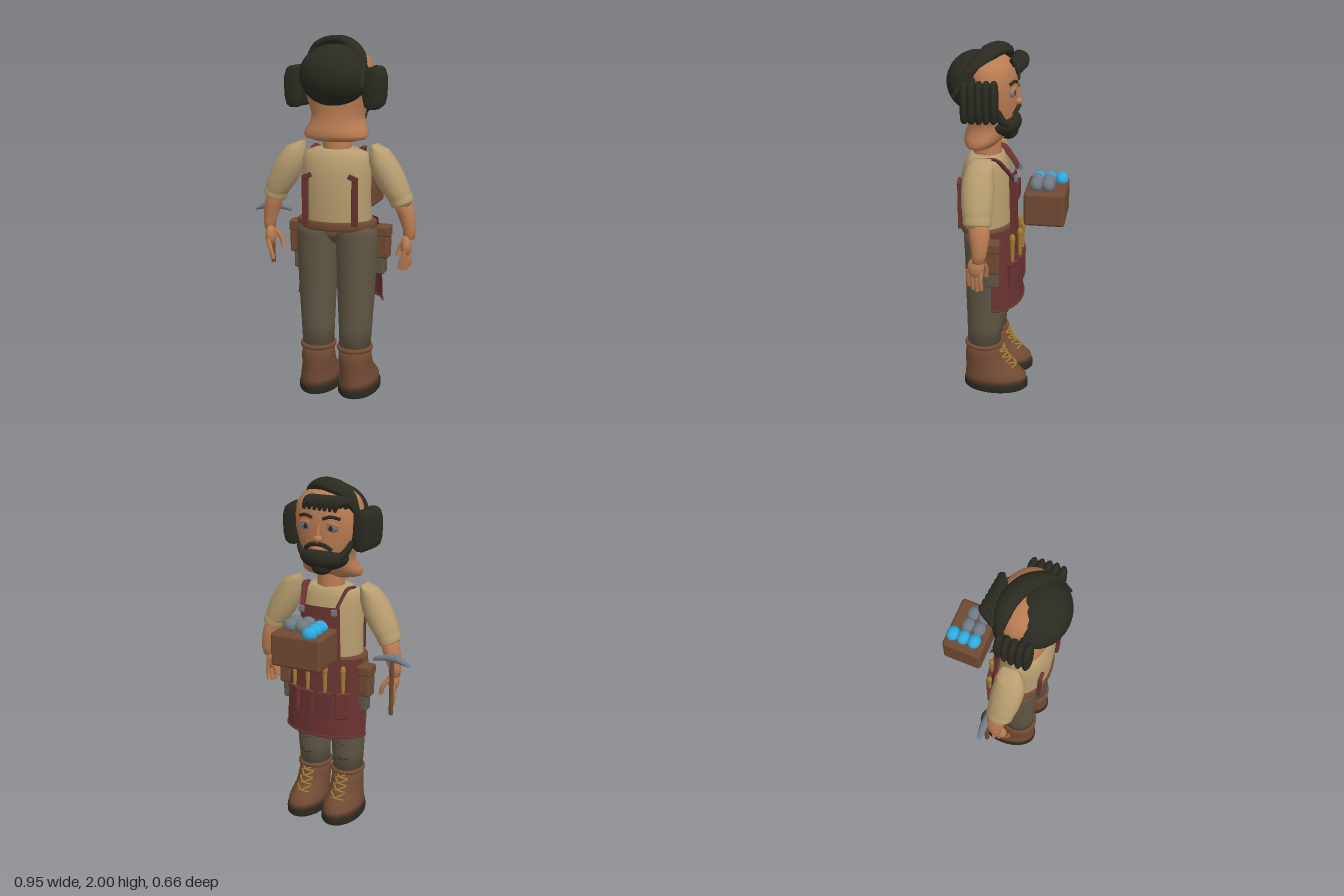
import * as THREE from 'three';
import { RoundedBoxGeometry } from 'three/addons/geometries/RoundedBoxGeometry.js';

const CX = 0.03; // the figure's own centre line
const V = (x, y, z) => new THREE.Vector3(x, y, z);

function material(name, color) {
  const m = new THREE.MeshStandardMaterial({ color, side: THREE.DoubleSide });
  m.name = name;
  return m;
}

// Smooth skin over a grid of points; point(i, j) returns a Vector3
function gridGeometry(rows, cols, closed, point) {
  const pos = [], idx = [];
  for (let i = 0; i < rows; i++) for (let j = 0; j < cols; j++) pos.push(...point(i, j).toArray());
  for (let i = 0; i < rows - 1; i++) {
    for (let j = 0; j < (closed ? cols : cols - 1); j++) {
      const k = (j + 1) % cols, a = i * cols + j, b = i * cols + k;
      idx.push(b, a, a + cols, b, a + cols, b + cols);
    }
  }
  const g = new THREE.BufferGeometry();
  g.setAttribute('position', new THREE.Float32BufferAttribute(pos, 3));
  g.setIndex(idx);
  g.computeVertexNormals();
  return g;
}

// Stacked ellipses [y, cx, cz, rx, rz]; angle 0 points to the face side (-z)
function loft(rings, a0 = 0, a1 = Math.PI * 2) {
  const closed = a1 - a0 > 6.28, n = closed ? 32 : 25;
  let list = rings;
  if (closed) {
    const f = rings[0], l = rings[rings.length - 1];
    list = [[f[0], f[1], f[2], 0, 0], ...rings, [l[0], l[1], l[2], 0, 0]];
  }
  return gridGeometry(list.length, n, closed, (i, j) => {
    const [y, cx, cz, rx, rz] = list[i];
    const a = a0 + (a1 - a0) * j / (closed ? n : n - 1);
    return V(cx + rx * Math.sin(a), y, cz - rz * Math.cos(a));
  });
}

// Flattened tapering lock of hair lying on the head
function lock(points, widths, thick) {
  const curve = new THREE.CatmullRomCurve3(points), rows = 21, centre = V(CX, 1.76, 0.12);
  return gridGeometry(rows, 14, true, (i, j) => {
    const t = i / (rows - 1), p = curve.getPoint(t), tan = curve.getTangent(t);
    const out = p.clone().sub(centre);
    out.addScaledVector(tan, -out.dot(tan)).normalize();
    const side = out.clone().cross(tan);
    const f = t * (widths.length - 1), k = Math.min(Math.floor(f), widths.length - 2);
    const w = THREE.MathUtils.lerp(widths[k], widths[k + 1], f - k);
    const a = j / 14 * Math.PI * 2, h = Math.min(thick, w);
    return p.addScaledVector(side, w * Math.cos(a)).addScaledVector(out, -h * Math.sin(a));
  });
}

export function createModel() {
  const root = new THREE.Group();
  root.name = 'craftsman';
  const hair = material('hair', 0x2a2a20), skin = material('skin', 0xb97c52);
  const shirt = material('shirt', 0xb79d6f), pants = material('trousers', 0x5f5543);
  const leather = material('leather', 0x704a33), maroon = material('apron', 0x693230);
  const steel = material('steel', 0x717a84), blue = material('blue', 0x2fa9dd);
  const gold = material('brass', 0xa17c35);

  const add = (name, geo, mat, x = 0, y = 0, z = 0, ry = 0) => {
    const m = new THREE.Mesh(geo, mat);
    m.name = name;
    m.position.set(x, y, z);
    m.rotation.y = ry;
    root.add(m);
    return m;
  };
  const box = (name, mat, w, h, d, x, y, z, ry = 0) =>
    add(name, new RoundedBoxGeometry(w, h, d, 2, Math.min(w, h, d, 0.09) * 0.2), mat, x, y, z, ry);
  const ball = (name, mat, rx, ry, rz, x, y, z) => {
    const m = add(name, new THREE.SphereGeometry(1, 28, 20), mat, x, y, z);
    m.scale.set(rx, ry, rz);
    return m;
  };
  const tube = (name, mat, r, pts) =>
    add(name, new THREE.TubeGeometry(new THREE.CatmullRomCurve3(pts), 16, r, 8), mat);

  // Torso, belt and neck
  add('shirtBody', loft([[0.98, CX, 0.115, 0.19, 0.135], [1.02, CX, 0.115, 0.195, 0.14], [1.15, CX, 0.12, 0.19, 0.14],
    [1.27, CX, 0.125, 0.195, 0.135], [1.35, CX, 0.125, 0.188, 0.115], [1.385, CX, 0.12, 0.17, 0.1], [1.405, CX, 0.12, 0.12, 0.08]]), shirt);
  add('belt', loft([[0.965, CX, 0.115, 0.215, 0.143], [0.975, CX, 0.115, 0.225, 0.15], [1.005, CX, 0.115, 0.225, 0.15],
    [1.015, CX, 0.115, 0.215, 0.143]]), leather);
  box('beltLoop', leather, 0.06, 0.035, 0.015, CX, 0.955, 0.235);
  add('neck', new THREE.CylinderGeometry(0.075, 0.08, 0.14, 24), skin, CX, 1.43, 0.115);
  add('hips', loft([[0.88, CX, 0.115, 0.1, 0.05], [0.93, CX, 0.115, 0.19, 0.085], [0.99, CX, 0.115, 0.21, 0.11]]), pants);

  // Head
  add('head', loft([[1.447, CX, 0.15, 0.11, 0.06], [1.46, CX, 0.147, 0.165, 0.085], [1.48, CX, 0.138, 0.181, 0.1],
    [1.51, CX, 0.12, 0.172, 0.115], [1.55, CX, 0.1, 0.152, 0.122], [1.59, CX, 0.09, 0.148, 0.13], [1.65, CX, 0.085, 0.17, 0.133],
    [1.73, CX, 0.09, 0.193, 0.142], [1.8, CX, 0.095, 0.199, 0.145], [1.86, CX, 0.1, 0.19, 0.142], [1.9, CX, 0.105, 0.167, 0.13],
    [1.93, CX, 0.115, 0.125, 0.1], [1.95, CX, 0.12, 0.065, 0.05]]), skin);
  ball('backHair', hair, 0.192, 0.165, 0.167, CX, 1.797, 0.163);
  add('sweptQuiff', lock([V(-0.16, 1.84, 0.035), V(-0.105, 1.935, 0.03), V(-0.02, 1.968, 0.04), V(0.08, 1.966, 0.085),
    V(0.17, 1.9, 0.16), V(0.212, 1.75, 0.265)], [0.02, 0.045, 0.056, 0.054, 0.04, 0.008], 0.03), hair);
  for (let i = 0; i < 7; i++) {
    const x = -0.15 + i * 0.032;
    add('fringeCurl', lock([V(x, 1.87, 0.0), V(x + 0.015, 1.91, -0.035), V(x + 0.045, 1.905, -0.075 + i * 0.003),
      V(x + 0.065, 1.855, -0.083 + i * 0.003)], [0.016, 0.026, 0.024, 0.008], 0.016), hair);
  }
  for (const s of [-1, 1]) {
    // Ridged hair over the ears
    for (let i = 0; i < 5; i++) {
      const x = CX + s * (0.207 + [0, 0.006, 0.012, 0.014, 0.01][i]), z = 0.045 + i * 0.038;
      add('sideHair', loft([[1.625, x, z, 0.022, 0.012], [1.64, x, z, 0.042, 0.02], [1.68, x, z, 0.052, 0.023], [1.74, x, z, 0.056, 0.024],
        [1.79, x, z, 0.054, 0.023], [1.83, x, z, 0.042, 0.02], [1.845, x, z, 0.022, 0.012]]), hair);
    }
    // Eyes, brows and whiskers
    const x = CX + s * 0.075;
    ball('eye', steel, 0.042, 0.024, 0.014, x, 1.757, -0.034);
    ball('pupil', hair, 0.012, 0.014, 0.005, x, 1.757, -0.046);
    tube('eyelid', skin, 0.008, [V(x - 0.042, 1.768, -0.032), V(x, 1.783, -0.045), V(x + 0.042, 1.768, -0.032)]);
    tube('eyebrow', hair, 0.009, [V(CX + s * 0.03, 1.805, -0.05), V(x, 1.818, -0.045), V(CX + s * 0.12, 1.805, -0.02)]);
    tube('moustache', hair, 0.012, [V(CX, 1.668, -0.058), V(CX + s * 0.04, 1.662, -0.055), V(CX + s * 0.08, 1.635, -0.04)]);
    tube('cheekBeard', hair, 0.024, [V(CX + s * 0.155, 1.68, 0.045), V(CX + s * 0.135, 1.62, 0.015), V(CX + s * 0.09, 1.575, -0.02)]);
  }
  ball('nose', skin, 0.026, 0.022, 0.024, CX, 1.695, -0.052);
  tube('noseBridge', skin, 0.014, [V(CX, 1.77, -0.045), V(CX, 1.74, -0.05), V(CX, 1.7, -0.056)]);
  ball('beard', hair, 0.143, 0.075, 0.104, CX, 1.58, 0.032);
  ball('chinBeard', hair, 0.062, 0.052, 0.056, CX, 1.535, 0.0);
  ball('lip', skin, 0.035, 0.008, 0.01, CX, 1.64, -0.054);

  // Arms and legs
  for (const s of [-1, 1]) {
    const X = d => CX + s * d;
    const limb = (name, mat, rings) => add(name, loft(rings.map(([y, d, ...r]) => [y, X(d), ...r])), mat);
    limb('sleeve', shirt, [[1.11, 0.362, 0.11, 0.055, 0.065], [1.15, 0.35, 0.112, 0.07, 0.076], [1.2, 0.325, 0.116, 0.084, 0.084],
      [1.28, 0.288, 0.12, 0.088, 0.088], [1.34, 0.263, 0.12, 0.078, 0.083], [1.385, 0.245, 0.115, 0.06, 0.072],
      [1.405, 0.237, 0.11, 0.05, 0.064], [1.43, 0.208, 0.105, 0.014, 0.045]]);
    const cuff = limb('cuff', shirt, [[-0.025, 0, 0, 0.058, 0.068], [-0.018, 0, 0, 0.064, 0.074], [0.018, 0, 0, 0.066, 0.076], [0.025, 0, 0, 0.06, 0.07]]);
    cuff.geometry.translate(-X(0), 0, 0);
    cuff.position.set(X(0.362), 1.135, 0.11);
    cuff.rotation.z = s * 0.38;
    limb('forearm', skin, [[0.92, 0.405, 0.1, 0.03, 0.034], [0.97, 0.407, 0.095, 0.036, 0.04], [1.05, 0.388, 0.095, 0.048, 0.053], [1.14, 0.362, 0.105, 0.052, 0.058]]);
    ball('palm', skin, 0.03, 0.06, 0.045, X(0.395), 0.885, 0.115);
    for (let i = 0; i < 4; i++) {
      const z = 0.085 + i * 0.024, low = 0.74 + Math.abs(i - 1.3) * 0.014;
      tube('finger', skin, 0.012, [V(X(0.4), 0.87, z), V(X(0.41 - i * 0.01), 0.81, z + 0.004), V(X(0.402 - i * 0.012), low, z + 0.002)]);
    }
    tube('thumb', skin, 0.014, [V(X(0.385), 0.91, 0.08), V(X(0.35), 0.86, 0.068), V(X(0.335), 0.81, 0.072)]);

    limb('trouserLeg', pants, [[0.28, 0.108, 0.125, 0.088, 0.095], [0.4, 0.11, 0.12, 0.094, 0.1], [0.6, 0.112, 0.118, 0.105, 0.105],
      [0.8, 0.113, 0.115, 0.114, 0.11], [0.93, 0.115, 0.115, 0.115, 0.115], [0.99, 0.11, 0.115, 0.11, 0.115]]);
    for (const y of [0.37, 0.47])
      tube('trouserCrease', hair, 0.003, [V(X(0.09), y, 0.022), V(X(0.12), y - 0.008, 0.021), V(X(0.15), y + 0.004, 0.03)]);

    // Boots with sole, rolled top and laces
    limb('sole', hair, [[0, 0.115, 0.055, 0.11, 0.18], [0.008, 0.115, 0.055, 0.116, 0.187], [0.04, 0.115, 0.055, 0.116, 0.187], [0.046, 0.115, 0.055, 0.11, 0.18]]);
    limb('boot', leather, [[0.045, 0.115, 0.057, 0.109, 0.182], [0.08, 0.115, 0.058, 0.108, 0.178], [0.11, 0.114, 0.073, 0.102, 0.16],
      [0.14, 0.112, 0.095, 0.096, 0.138], [0.18, 0.11, 0.113, 0.094, 0.121], [0.22, 0.109, 0.123, 0.093, 0.11], [0.28, 0.108, 0.125, 0.088, 0.1]]);
    const roll = add('bootTop', new THREE.TorusGeometry(0.088, 0.014, 10, 36), leather, X(0.108), 0.275, 0.125);
    roll.rotation.x = Math.PI / 2;
    roll.scale.y = 1.1;
    for (let i = 0; i < 4; i++) {
      const y = 0.13 + i * 0.036, z = [-0.055, -0.022, -0.002, 0.012][i];
      for (const k of [-1, 1])
        tube('lace', gold, 0.005, [V(X(0.112 + k * 0.04), y, z + 0.016), V(X(0.112), y + 0.018, z - 0.008), V(X(0.112 - k * 0.04), y + 0.034, z + 0.03)]);
    }

    // Apron straps and clips
    box('backStrap', maroon, 0.034, 0.26, 0.018, X(0.14), 1.13, 0.248);
    const tip = box('backStrapTip', maroon, 0.055, 0.028, 0.018, X(0.13), 1.262, 0.25);
    tip.rotation.z = -s * 0.4;
    add('frontStrap', lock([V(X(0.1), 1.28, -0.048), V(X(0.115), 1.35, 0.002), V(X(0.13), 1.4, 0.052), V(X(0.135), 1.395, 0.12)],
      [0.016, 0.018, 0.02, 0.02], 0.009), maroon);
    box('strapClip', steel, 0.032, 0.035, 0.014, X(0.1), 1.29, -0.056);

    // Hip pouches
    box('hipPouch', leather, 0.075, 0.18, 0.085, X(0.25), 0.88, 0.055);
    box('pouchFlap', leather, 0.085, 0.06, 0.092, X(0.25), 0.945, 0.055);
    box('lowerPouch', pants, 0.055, 0.11, 0.075, X(0.237), 0.755, 0.055);
  }

  // Apron
  add('apronSkirt', loft([[0.54, CX, 0.07, 0.25, 0.155], [0.7, CX, 0.07, 0.245, 0.15], [0.88, CX, 0.07, 0.232, 0.132], [1.01, CX, 0.07, 0.222, 0.12]], -1.5, 1.5), maroon);
  add('apronHem', new THREE.TubeGeometry(new THREE.CatmullRomCurve3([...Array(13).keys()].map(i => {
    const a = -1.5 + i * 0.25;
    return V(CX + 0.25 * Math.sin(a), 0.545, 0.07 - 0.155 * Math.cos(a));
  })), 40, 0.007, 6), maroon);
  add('apronBib', loft([[1.0, CX, 0.07, 0.222, 0.122], [1.15, CX, 0.07, 0.215, 0.118], [1.31, CX, 0.07, 0.205, 0.112]], -0.62, 0.62), maroon);
  box('bibPocket', maroon, 0.12, 0.1, 0.015, CX, 1.19, -0.055);

  // Tool pockets, each holding a brass tool
  for (const a of [-0.66, -0.22, 0.22, 0.66]) {
    const x = CX + 0.25 * Math.sin(a), z = 0.073 - 0.155 * Math.cos(a);
    box('toolPocket', maroon, 0.078, 0.15, 0.026, x, 0.74, z, -a * 0.7);
    box('pocketRim', maroon, 0.084, 0.022, 0.03, x, 0.808, z, -a * 0.7);
    add('toolHandle', new THREE.CylinderGeometry(0.014, 0.009, 0.15, 12), gold, x, 0.875, z + 0.004);
    ball('toolKnob', gold, 0.016, 0.028, 0.016, x, 0.955, z + 0.004);
  }

  // Pick hammer, its head tapering to a point on the outer side
  add('hammerHandle', new THREE.CylinderGeometry(0.012, 0.013, 0.34, 14), leather, -0.38, 0.875, 0.045);
  add('hammerHead', loft([[0.27, 1.025, 0.04, 0.012, 0.006], [0.34, 1.043, 0.042, 0.018, 0.016], [0.41, 1.045, 0.045, 0.024, 0.023],
    [0.445, 1.03, 0.045, 0.016, 0.02], [0.482, 1.012, 0.045, 0.004, 0.01]]).rotateZ(Math.PI / 2), steel);

  // Crate of balls
  box('crate', leather, 0.3, 0.19, 0.225, 0.03, 1.13, -0.216);
  const rows = [[-0.042, blue, [-0.29, -0.228, -0.165]], [0.03, steel, [-0.23, -0.165]], [0.104, steel, [-0.23, -0.165]]];
  for (const [x, mat, zs] of rows)
    for (const z of zs) ball('crateBall', mat, 0.043, 0.038, 0.036, x, mat === blue ? 1.238 : 1.25, z);

  return root;
}
